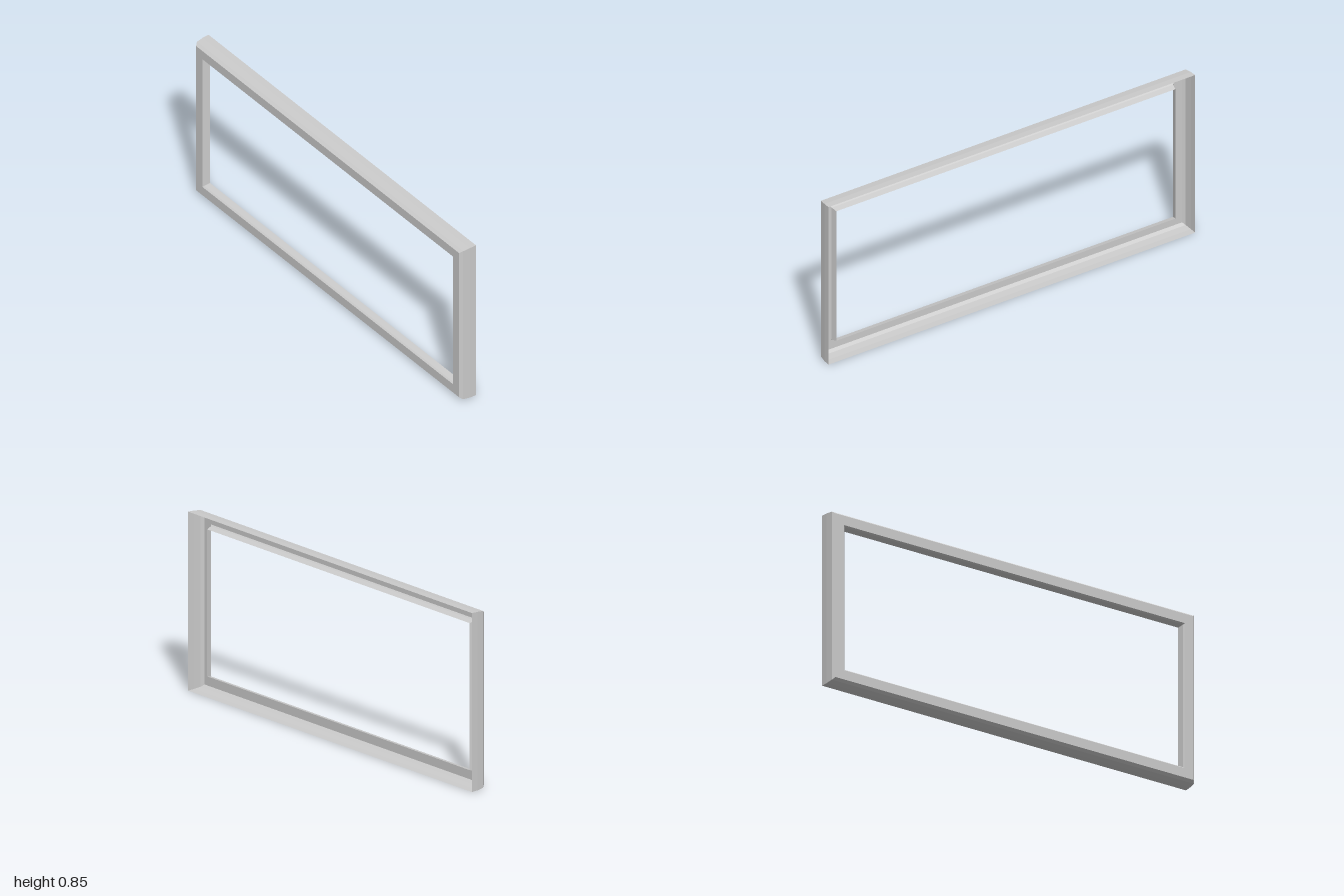
import * as THREE from 'three';

const HEIGHT = 0.853;
const HALF_LENGTH = 1;

// Moulding cross-section: [x, inset from the outer edge], open on the +x side
const PROFILE = [
  [0.042, 0], [0.008, 0.001], [-0.028, 0.005], [-0.042, 0.016], // outer wall and bevel
  [-0.042, 0.063],                                            // flat face
  [-0.035, 0.069], [-0.007, 0.076],                           // inner lip
];

// Corner signs [z, y], in order round the frame
const CORNERS = [[1, 1], [-1, 1], [-1, -1], [1, -1]];
const NAMES = ['topRail', 'backStile', 'bottomRail', 'frontStile'];

function corner([sz, sy], [x, inset]) {
  return [x, HEIGHT / 2 + sy * (HEIGHT / 2 - inset), sz * (HALF_LENGTH - inset)];
}

// One mitred length of moulding between two corners
function member(from, to) {
  const positions = [];
  for (let i = 0; i < PROFILE.length - 1; i++) {
    const a = corner(from, PROFILE[i]);
    const b = corner(to, PROFILE[i]);
    const c = corner(to, PROFILE[i + 1]);
    const d = corner(from, PROFILE[i + 1]);
    positions.push(...a, ...b, ...c, ...a, ...c, ...d);
  }
  const geometry = new THREE.BufferGeometry();
  geometry.setAttribute('position', new THREE.Float32BufferAttribute(positions, 3));
  geometry.computeVertexNormals();
  return geometry;
}

export function createModel() {
  const group = new THREE.Group();
  group.name = 'rectangularFrame';
  const material = new THREE.MeshStandardMaterial({
    color: 0xcccccc, flatShading: true, side: THREE.DoubleSide,
  });
  NAMES.forEach((name, i) => {
    const mesh = new THREE.Mesh(member(CORNERS[i], CORNERS[(i + 1) % 4]), material);
    mesh.name = name;
    group.add(mesh);
  });
  return group;
}
